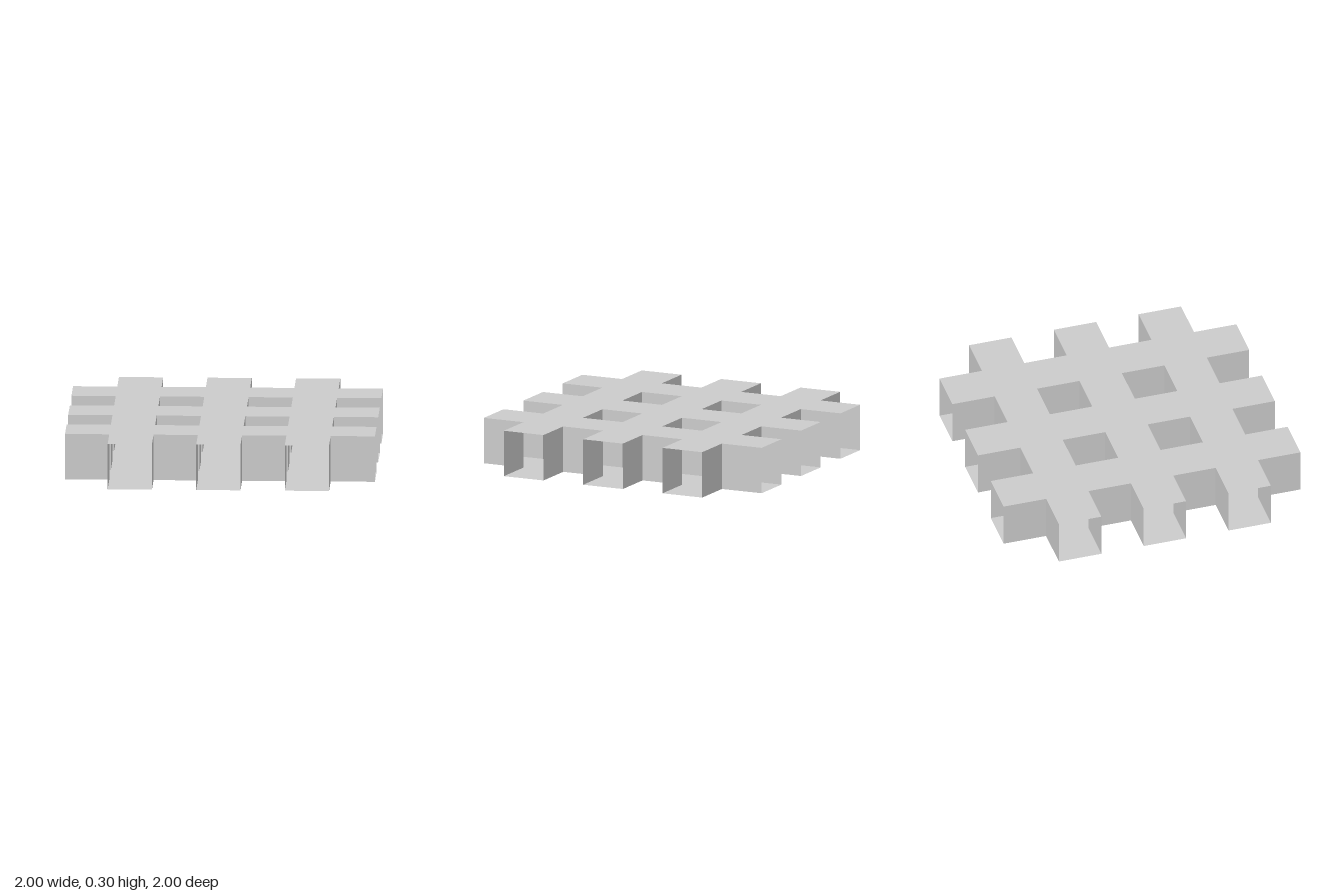
import * as THREE from 'three';
import { mergeGeometries } from 'three/addons/utils/BufferGeometryUtils.js';

const U = 1 / 7;      // half the width of one tube
const HEIGHT = 0.3;

// Lattice plan: three tubes crossing three tubes, with four square openings
function latticeShape() {
  const side = [];
  for (const c of [-4, 0, 4]) {
    side.push([c - 1, -5], [c - 1, -7], [c + 1, -7], [c + 1, -5]);
  }
  const outline = [];
  for (let turn = 0; turn < 4; turn++) {
    for (const [x, y] of side) {
      const p = new THREE.Vector2(x * U, y * U);
      outline.push(p.rotateAround(new THREE.Vector2(), turn * Math.PI / 2));
    }
  }
  const shape = new THREE.Shape(outline);
  for (const x of [-2, 2]) {
    for (const y of [-2, 2]) {
      const corners = [[-1, -1], [-1, 1], [1, 1], [1, -1]];
      shape.holes.push(new THREE.Path(
        corners.map(([a, b]) => new THREE.Vector2((x + a) * U, (y + b) * U))));
    }
  }
  return shape;
}

// Walls around every gap between tubes; the tube ends stay open
function wallGeometry() {
  const walls = [];
  const gaps = [-6, -2, 2, 6];
  for (const x of gaps) {
    for (const z of gaps) {
      for (let k = 0; k < 4; k++) {
        const angle = k * Math.PI / 2;
        const dx = Math.round(Math.sin(angle));
        const dz = Math.round(Math.cos(angle));
        if (Math.abs(x + dx) === 7 || Math.abs(z + dz) === 7) continue;
        // each wall faces into its gap
        walls.push(new THREE.PlaneGeometry(2 * U, HEIGHT)
          .rotateY(angle + Math.PI)
          .translate((x + dx) * U, HEIGHT / 2, (z + dz) * U));
      }
    }
  }
  return mergeGeometries(walls);
}

export function createModel() {
  const group = new THREE.Group();
  group.name = 'tubeLattice';
  const material = new THREE.MeshStandardMaterial({
    color: 0xcccccc, flatShading: true, side: THREE.DoubleSide,
  });
  const add = (name, geometry) => {
    const mesh = new THREE.Mesh(geometry, material);
    mesh.name = name;
    group.add(mesh);
  };

  // Thin top and bottom sheets
  const shape = latticeShape();
  add('topSheet', new THREE.ShapeGeometry(shape).rotateX(-Math.PI / 2).translate(0, HEIGHT, 0));
  add('bottomSheet', new THREE.ShapeGeometry(shape).rotateX(Math.PI / 2));
  add('tubeWalls', wallGeometry());
  return group;
}
